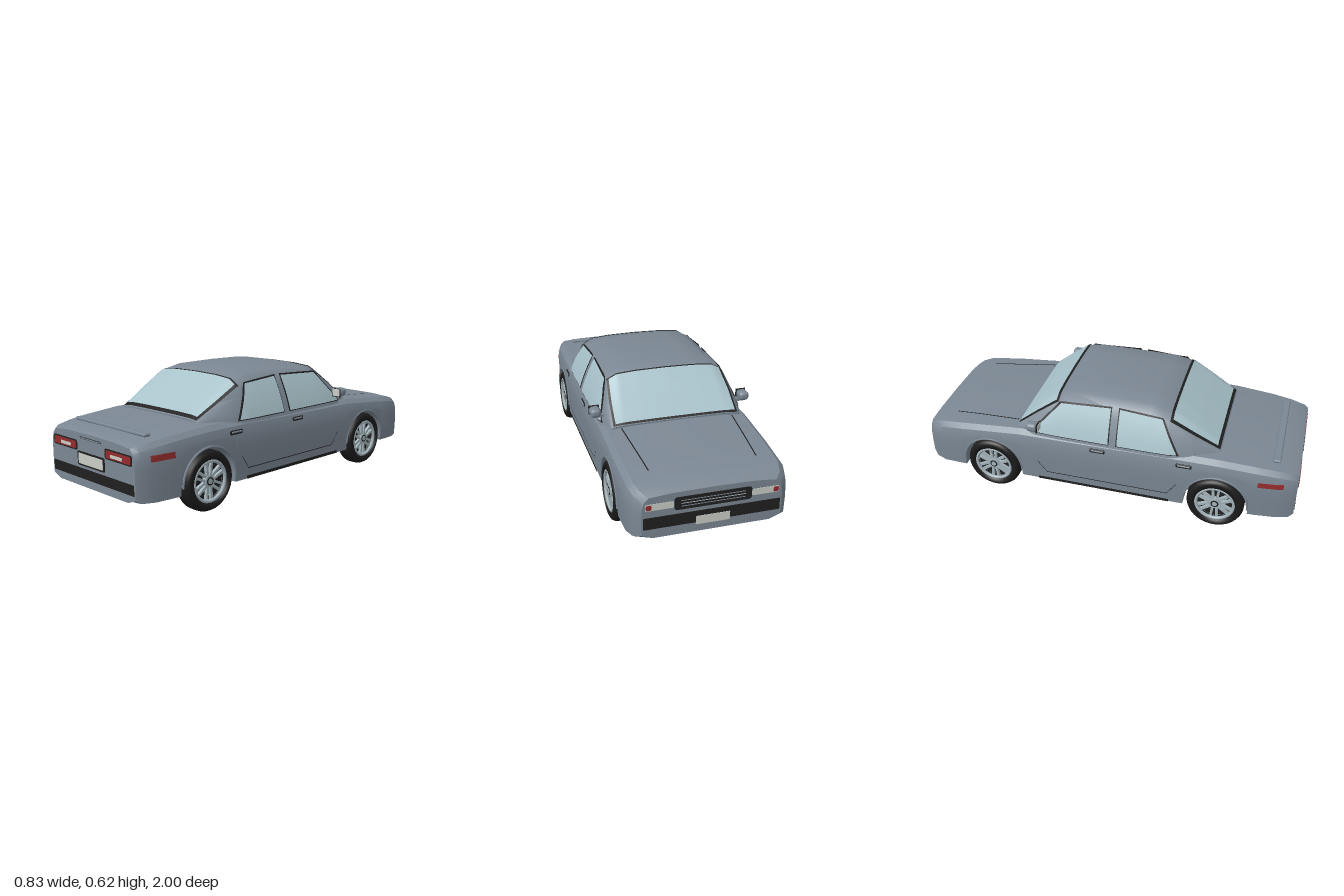
import * as THREE from 'three';
import { toCreasedNormals } from 'three/addons/utils/BufferGeometryUtils.js';
import { RoundedBoxGeometry } from 'three/addons/geometries/RoundedBoxGeometry.js';

const paint = (name, color, side = THREE.FrontSide) => {
  const m = new THREE.MeshStandardMaterial({ color, side });
  m.name = name;
  return m;
};

// linear lookup in a table of rows sorted by their first column
function look(table, k, col = 1) {
  if (k <= table[0][0]) return table[0][col];
  for (let i = 1; i < table.length; i++) {
    const a = table[i - 1], b = table[i];
    if (k <= b[0]) return a[col] + (b[col] - a[col]) * (k - a[0]) / (b[0] - a[0]);
  }
  return table[table.length - 1][col];
}

// skin over half cross-sections (bottom centre to top centre), mirrored in x
function loft(halves, crease) {
  const pos = [], idx = [];
  const rings = halves.map(h => [...h, ...h.slice(1, -1).reverse().map(([x, y, z]) => [-x, y, z])]);
  const n = rings[0].length;
  rings.forEach(r => r.forEach(p => pos.push(...p)));
  for (let k = 0; k < rings.length - 1; k++) for (let i = 0; i < n; i++) {
    const a = k * n + i, b = k * n + (i + 1) % n;
    idx.push(a, b, b + n, a, b + n, a + n);
  }
  [0, rings.length - 1].forEach(k => {
    const r = rings[k], c = pos.length / 3;
    pos.push(0, (r[0][1] + r[halves[0].length - 1][1]) / 2, r[0][2]);
    for (let i = 0; i < n; i++) {
      const a = k * n + i, b = k * n + (i + 1) % n;
      idx.push(c, k ? a : b, k ? b : a);
    }
  });
  const g = new THREE.BufferGeometry();
  g.setAttribute('position', new THREE.Float32BufferAttribute(pos, 3));
  g.setIndex(idx);
  return toCreasedNormals(g.toNonIndexed(), crease);
}

// thin sheet laid on a surface given by f(u, v)
function sheet(f, nu = 12, nv = 6) {
  const g = new THREE.PlaneGeometry(1, 1, nu, nv), p = g.attributes.position;
  for (let i = 0; i < p.count; i++) p.setXYZ(i, ...f(p.getX(i) + 0.5, p.getY(i) + 0.5));
  g.computeVertexNormals();
  return g;
}

// lower body: z, half width, top height, sill height
const BODY = [
  [-0.992, 0.33, 0.325, 0.13], [-0.96, 0.362, 0.345, 0.115], [-0.9, 0.381, 0.363, 0.11], [-0.7, 0.387, 0.385, 0.11],
  [-0.45, 0.388, 0.407, 0.11], [0, 0.388, 0.412, 0.11], [0.4, 0.388, 0.418, 0.11], [0.6, 0.385, 0.416, 0.11],
  [0.8, 0.374, 0.402, 0.11], [0.9, 0.363, 0.391, 0.11], [0.97, 0.346, 0.38, 0.115], [0.992, 0.332, 0.37, 0.13]];
// share of the half width by depth below the top
const FLANK = [[0, 0.8], [0.012, 0.9], [0.035, 0.965], [0.07, 0.993], [0.14, 1], [0.3, 0.985]];
const WHEELS = [0.6, -0.61], ARCH = 0.165, AXLE = 0.148;
const bodyX = (z, y) => look(BODY, z, 1) * look(FLANK, look(BODY, z, 2) - y);

function bodySection(z) {
  const w = look(BODY, z, 1), t = look(BODY, z, 2);
  let sill = look(BODY, z, 3), well = 0.11;
  for (const c of WHEELS) if (Math.abs(z - c) <= ARCH)
    sill = well = AXLE + Math.sqrt(Math.max(0, ARCH ** 2 - (z - c) ** 2));
  const pts = [[0, 0.11, z], [0.27, 0.11, z], [0.275, well, z]];
  for (let i = 0; i <= 4; i++) {
    const y = sill + (t - 0.07 - sill) * i / 4;
    pts.push([bodyX(z, y), y, z]);
  }
  for (const d of [0.035, 0.012]) pts.push([bodyX(z, t - d), t - d, z]);
  pts.push([w * 0.6, t - 0.003, z], [0, t, z]);
  return pts;
}

// cabin: z, base half width, corner half width, corner height, centre height
const CABIN = [
  [-0.465, 0.33, 0.32, 0.405, 0.412], [-0.36, 0.37, 0.316, 0.488, 0.508], [-0.25, 0.375, 0.303, 0.565, 0.602],
  [-0.19, 0.376, 0.297, 0.58, 0.616], [0, 0.377, 0.297, 0.582, 0.621], [0.24, 0.377, 0.297, 0.58, 0.619],
  [0.34, 0.375, 0.306, 0.555, 0.599], [0.46, 0.358, 0.298, 0.49, 0.518], [0.595, 0.29, 0.28, 0.415, 0.422]];
const CROWN = [[0, 1], [0.5, 0.93], [0.83, 0.72], [1, 0]];
const cabinX = (z, y) => {
  const s = Math.min(1, Math.max(0, (y - 0.385) / (look(CABIN, z, 3) - 0.385)));
  const a = look(CABIN, z, 1), b = look(CABIN, z, 2);
  return a + (b - a) * s + 0.03 * s * (1 - s);
};
const cabinY = (z, f) => {
  const c = look(CABIN, z, 3);
  return c + (look(CABIN, z, 4) - c) * look(CROWN, Math.abs(f));
};
function cabinSection(z) {
  const c = look(CABIN, z, 3), w = look(CABIN, z, 2), pts = [[0, 0.385, z]];
  for (let i = 0; i <= 4; i++) {
    const y = 0.385 + (c - 0.385) * i / 4;
    pts.push([cabinX(z, y), y, z]);
  }
  for (const f of [0.83, 0.5, 0]) pts.push([w * f, cabinY(z, f), z]);
  return pts;
}

export function createModel() {
  const car = new THREE.Group();
  car.name = 'car';
  const D = THREE.DoubleSide;
  const body = paint('body grey', 0x7b8793), black = paint('black trim', 0x202020, D), glass = paint('window glass', 0xa8c2ca, D);
  const red = paint('lamp red', 0x962c2e, D), cream = paint('plate cream', 0xcacdc6, D);
  const rim = paint('wheel silver', 0xa3b3ba), rubber = paint('tyre rubber', 0x1b1b1b);
  const add = (name, geo, mat, x = 0, y = 0, z = 0, parent = car) => {
    const m = new THREE.Mesh(geo, mat);
    m.name = name;
    m.position.set(x, y, z);
    parent.add(m);
    return m;
  };

  // shells
  const zs = new Set(BODY.map(r => r[0]));
  for (const c of WHEELS) {
    for (let k = 0; k <= 16; k++) zs.add(c + ARCH * 0.9999 * Math.cos(Math.PI * k / 16));
    zs.add(c + ARCH + 0.001).add(c - ARCH - 0.001);
  }
  add('lowerBody', loft([...zs].sort((a, b) => a - b).map(bodySection), 0.5), body);
  add('cabin', loft(CABIN.map(r => cabinSection(r[0])), 0.6), body);

  // windscreen and rear window, each with a black surround
  const screen = (name, mat, z0, z1, f, lift) => add(name, sheet((u, v) => {
    const z = z0 + (z1 - z0) * v, s = (u * 2 - 1) * f;
    return [s * look(CABIN, z, 2), cabinY(z, s) + lift, z + Math.sign(z) * lift];
  }, 48, 24), mat);
  screen('windscreenTrim', black, -0.463, -0.242, 1, 0.002);
  screen('windscreen', glass, -0.455, -0.252, 0.965, 0.005);
  screen('rearWindowTrim', black, 0.335, 0.59, 1, 0.002);
  screen('rearWindow', glass, 0.345, 0.573, 0.955, 0.005);

  // side details: quads given as (z, y) corners, laid on a flank
  const onSide = (name, mat, surf, lift, [a, b, c, d]) => [1, -1].forEach(s => add(name, sheet((u, v) => {
    const mix = i => (a[i] * (1 - u) + b[i] * u) * (1 - v) + (d[i] * (1 - u) + c[i] * u) * v;
    const z = mix(0), y = mix(1);
    return [s * (surf(z, y) + lift), y, z];
  }), mat));
  onSide('frontDoorTrim', black, cabinX, 0.003, [[-0.39, 0.4], [0.04, 0.4], [0.04, 0.588], [-0.235, 0.575]]);
  onSide('frontDoorWindow', glass, cabinX, 0.006, [[-0.375, 0.405], [0.034, 0.405], [0.034, 0.58], [-0.228, 0.568]]);
  onSide('rearDoorTrim', black, cabinX, 0.003, [[0.075, 0.4], [0.4, 0.4], [0.305, 0.572], [0.075, 0.588]]);
  onSide('rearDoorWindow', glass, cabinX, 0.006, [[0.081, 0.405], [0.388, 0.405], [0.298, 0.566], [0.081, 0.58]]);
  onSide('sideMarker', red, bodyX, 0.004, [[0.8, 0.297], [0.925, 0.297], [0.925, 0.326], [0.8, 0.326]]);
  onSide('rockerStrip', black, bodyX, 0.004, [[-0.35, 0.11], [0.36, 0.11], [0.36, 0.126], [-0.35, 0.126]]);
  onSide('doorLine', black, bodyX, 0.003, [[-0.3, 0.163], [0.35, 0.163], [0.35, 0.167], [-0.3, 0.167]]);
  onSide('doorLineFront', black, bodyX, 0.003, [[-0.35, 0.23], [-0.3, 0.163], [-0.3, 0.168], [-0.35, 0.235]]);
  onSide('doorLineRear', black, bodyX, 0.003, [[0.35, 0.163], [0.395, 0.23], [0.395, 0.235], [0.35, 0.168]]);

  // flat rounded plates on the tail (dir 1) and nose (dir -1)
  const plate = (name, mat, x, y, w, h, r, layer, dir = 1) => {
    const s = new THREE.Shape(), a = w / 2, b = h / 2;
    s.moveTo(-a + r, -b).lineTo(a - r, -b).quadraticCurveTo(a, -b, a, -b + r).lineTo(a, b - r).quadraticCurveTo(a, b, a - r, b);
    s.lineTo(-a + r, b).quadraticCurveTo(-a, b, -a, b - r).lineTo(-a, -b + r).quadraticCurveTo(-a, -b, -a + r, -b);
    const g = new THREE.ExtrudeGeometry(s, { depth: 0.004, bevelEnabled: false, curveSegments: 5 });
    const m = add(name, g, mat, x, y, dir * (0.99 + layer * 0.002));
    if (dir < 0) m.rotation.y = Math.PI;
  };
  plate('rearBumperBand', black, 0, 0.174, 0.645, 0.05, 0.002, 0);
  plate('rearPlateFrame', black, 0, 0.247, 0.215, 0.067, 0.008, 1);
  plate('rearPlate', cream, 0, 0.247, 0.194, 0.05, 0.004, 2);
  plate('bootSlotTrim', black, 0, 0.347, 0.172, 0.009, 0.001, 0);
  plate('bootSlot', body, 0, 0.347, 0.166, 0.005, 0.001, 1);
  plate('noseBand', black, 0, 0.186, 0.64, 0.058, 0.002, 0, -1);
  plate('nosePlate', cream, 0, 0.168, 0.16, 0.042, 0.004, 1, -1);
  plate('grille', black, 0, 0.267, 0.36, 0.062, 0.015, 1, -1);
  for (let i = -1; i <= 1; i++) plate('grilleBar', i ? body : rim, 0, 0.267 + i * 0.014, 0.3, 0.003, 0.001, 2, -1);
  for (const s of [1, -1]) {
    plate('tailLampFrame', black, s * 0.213, 0.305, 0.202, 0.049, 0.012, 0);
    plate('tailLamp', red, s * 0.213, 0.305, 0.184, 0.036, 0.008, 1);
    plate('reverseLamp', cream, s * 0.203, 0.301, 0.085, 0.015, 0.003, 2);
    plate('headLamp', cream, s * 0.247, 0.266, 0.13, 0.032, 0.008, 0, -1);
    plate('cornerLamp', red, s * 0.297, 0.266, 0.024, 0.024, 0.005, 1, -1);

    // bonnet crease
    add('bonnetLine', sheet((u, v) => {
      const z = -0.85 + 0.37 * v;
      return [s * (0.253 + 0.028 * v + u * 0.006), look(BODY, z, 2) - 0.002, z];
    }, 1, 24), black);

    // door mirror
    add('mirrorShell', new RoundedBoxGeometry(0.054, 0.047, 0.065, 4, 0.02), body, s * 0.388, 0.452, -0.362);
    add('mirrorRim', new RoundedBoxGeometry(0.054, 0.047, 0.008, 3, 0.004), black, s * 0.388, 0.452, -0.332);
    add('mirrorGlass', new RoundedBoxGeometry(0.047, 0.04, 0.006, 3, 0.003), cream, s * 0.388, 0.452, -0.329);
    add('mirrorStalk', new THREE.BoxGeometry(0.05, 0.014, 0.025), body, s * 0.362, 0.432, -0.362);

    // door handles
    for (const z of [0.43, -0.02]) {
      const x = bodyX(z, 0.355);
      add('handleRecess', new RoundedBoxGeometry(0.008, 0.022, 0.08, 3, 0.004), black, s * x, 0.355, z);
      add('doorHandle', new RoundedBoxGeometry(0.012, 0.009, 0.066, 3, 0.004), body, s * (x + 0.002), 0.357, z);
    }
  }

  // boot lip spoiler
  add('bootLip', new RoundedBoxGeometry(0.55, 0.016, 0.036, 3, 0.007), body, 0, 0.396, 0.875);

  // wheels, outer face on local +x
  const tyre = [[0.1, -0.047], [0.128, -0.047], [0.14, -0.04], [0.147, -0.025], [0.148, 0], [0.147, 0.025], [0.14, 0.04],
    [0.128, 0.047], [0.105, 0.045], [0.1, 0.01]].map(p => new THREE.Vector2(...p));
  for (const zc of WHEELS) for (const s of [1, -1]) {
    const wheel = new THREE.Group();
    wheel.name = 'wheel';
    wheel.position.set(s * 0.343, AXLE, zc);
    if (s < 0) wheel.rotation.y = Math.PI;
    car.add(wheel);
    const disc = (name, r, len, mat, x) => {
      add(name, new THREE.CylinderGeometry(r, r, len, 32), mat, x, 0, 0, wheel).rotation.z = -Math.PI / 2;
    };
    add('tyre', new THREE.LatheGeometry(tyre, 40), rubber, 0, 0, 0, wheel).rotation.z = -Math.PI / 2;
    disc('rimBarrel', 0.101, 0.055, rim, -0.018);
    disc('rimShade', 0.095, 0.004, black, 0.012);
    disc('hub', 0.03, 0.026, rim, 0.026);
    disc('hubRing', 0.02, 0.003, black, 0.039);
    disc('hubCap', 0.013, 0.005, rim, 0.04);
    add('rimRing', new THREE.TorusGeometry(0.097, 0.009, 8, 40), rim, 0.036, 0, 0, wheel).rotation.y = Math.PI / 2;
    for (let i = 0; i < 6; i++) for (const o of [-1, 1]) {
      const spoke = new THREE.BoxGeometry(0.016, 0.072, 0.013).rotateX(o * 0.1).translate(0.027, 0.06, o * 0.013);
      add('spoke', spoke, rim, 0, 0, 0, wheel).rotation.x = i * Math.PI / 3;
    }
    // raised lip round the wheel opening
    const lip = add('archLip', new THREE.TorusGeometry(ARCH, 0.006, 6, 32, Math.PI), body, s * 0.383, AXLE, zc);
    lip.rotation.y = Math.PI / 2;
  }
  return car;
}
